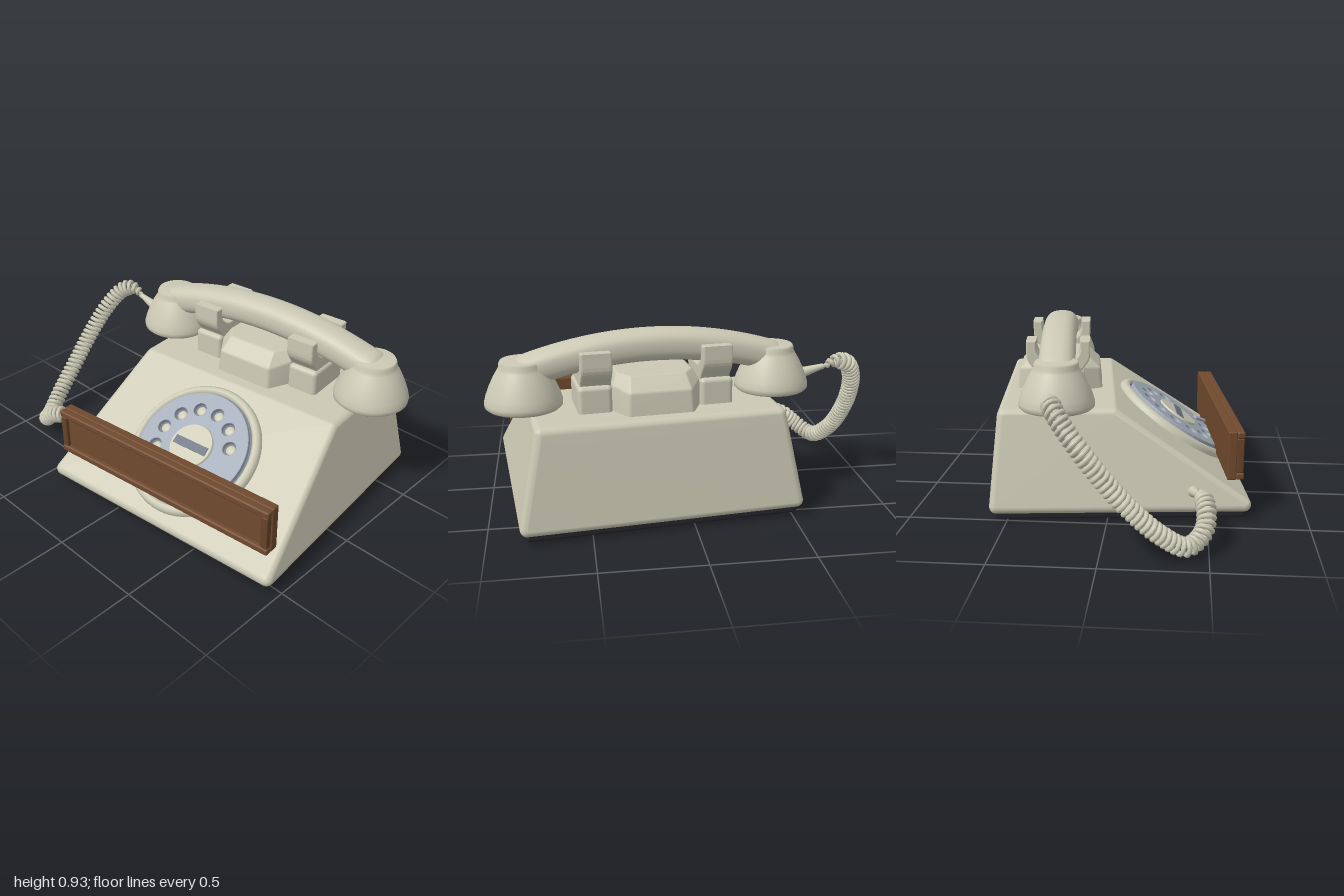
import * as THREE from 'three';
import { mergeVertices } from 'three/addons/utils/BufferGeometryUtils.js';
import { ConvexGeometry } from 'three/addons/geometries/ConvexGeometry.js';
import { RoundedBoxGeometry } from 'three/addons/geometries/RoundedBoxGeometry.js';

const paint = (name, color) => Object.assign(new THREE.MeshStandardMaterial({ color }), { name });
const V = (x, y, z) => new THREE.Vector3(x, y, z);

// Convex block with rounded corners: the hull of small spheres
function roundedHull(corners, r) {
  const p = new THREE.SphereGeometry(r, 16, 12).attributes.position;
  const pts = [];
  for (const c of corners) {
    for (let i = 0; i < p.count; i++) pts.push(new THREE.Vector3().fromBufferAttribute(p, i).add(c));
  }
  let g = new ConvexGeometry(pts);
  g.deleteAttribute('normal');
  g = mergeVertices(g, 1e-4);
  g.computeVertexNormals();
  return g;
}

// Arched grip lofted from rounded cross-sections along x
function gripGeometry() {
  const pos = [], idx = [], rings = 48, sides = 28, half = 0.68, cap = 0.05;
  const soft = (v) => Math.sign(v) * Math.abs(v) ** 0.8;
  for (let i = 0; i <= rings; i++) {
    const x = half * Math.sin((i / rings - 0.5) * Math.PI);
    const over = Math.max(0, (Math.abs(x) - (half - cap)) / cap);
    const s = Math.sqrt(Math.max(0, 1 - over * over));
    const y = 0.85 - 0.1 * (x / 0.63) ** 2;
    for (let j = 0; j < sides; j++) {
      const a = (j / sides) * Math.PI * 2;
      pos.push(x, y + 0.08 * s * soft(Math.cos(a)), 0.091 * s * soft(Math.sin(a)));
    }
  }
  for (let i = 0; i < rings; i++) {
    for (let j = 0; j < sides; j++) {
      const k = (j + 1) % sides;
      const a = i * sides + j, c = i * sides + k, b = a + sides, d = c + sides;
      idx.push(a, c, b, c, d, b);
    }
  }
  const g = new THREE.BufferGeometry();
  g.setAttribute('position', new THREE.Float32BufferAttribute(pos, 3));
  g.setIndex(idx);
  g.computeVertexNormals();
  return g;
}

export function createModel() {
  const cream = paint('cream', 0xcbc9b4);
  const black = paint('black', 0x25242a);
  const steel = paint('steelBlue', 0xa0a9b6);
  const slate = paint('slate', 0x687380);
  const wood = paint('wood', 0x704a2e);
  const trim = paint('darkWood', 0x664329);

  const model = new THREE.Group();
  const phone = new THREE.Group();
  phone.name = 'phone';
  phone.position.set(0.21, 0, -0.005);
  phone.rotation.y = 0.107;
  model.add(phone);

  const add = (parent, name, geo, mat, x = 0, y = 0, z = 0) => {
    const m = new THREE.Mesh(geo, mat);
    m.name = name;
    m.position.set(x, y, z);
    parent.add(m);
    return m;
  };

  // Sloping housing
  const body = [];
  for (const s of [-1, 1]) {
    body.push(V(s * 0.665, 0.08, 0.62), V(s * 0.665, 0.08, -0.62), V(s * 0.575, 0.525, -0.03), V(s * 0.575, 0.525, -0.575));
  }
  add(phone, 'housing', roundedHull(body, 0.035), cream);

  // Base plate and feet
  add(phone, 'basePlate', new RoundedBoxGeometry(1.34, 0.04, 1.25, 2, 0.012), black, 0, 0.033, 0);
  for (const x of [-0.57, 0.57]) {
    for (const z of [-0.55, 0.55]) add(phone, 'foot', new THREE.CylinderGeometry(0.055, 0.05, 0.02, 24), black, x, 0.01, z);
  }

  // Dial on the front slope
  const dial = new THREE.Group();
  dial.name = 'dial';
  dial.position.set(0, 0.332, 0.317);
  dial.rotation.x = 0.6;
  phone.add(dial);
  const rim = [[0.358, -0.01], [0.356, 0.015], [0.345, 0.03], [0.328, 0.036], [0.315, 0.03], [0.31, 0.012]];
  add(dial, 'dialRim', new THREE.LatheGeometry(rim.map((p) => new THREE.Vector2(...p)), 64), cream);
  add(dial, 'dialFloor', new THREE.CylinderGeometry(0.315, 0.315, 0.02, 64), slate, 0, 0.008, 0);
  const plate = new THREE.Shape().absarc(0, 0, 0.298, 0, Math.PI * 2);
  for (let i = 0; i < 10; i++) {
    const a = THREE.MathUtils.degToRad(20 + i * 30);
    const x = 0.205 * Math.cos(a), y = 0.205 * Math.sin(a);
    plate.holes.push(new THREE.Path().absarc(x, y, 0.039, 0, Math.PI * 2, true));
    const dot = add(dial, 'numberButton', new THREE.SphereGeometry(0.027, 16, 8), cream, x, 0.018, -y);
    dot.scale.y = 0.4;
  }
  const wheel = new THREE.ExtrudeGeometry(plate, { depth: 0.02, bevelEnabled: true, bevelSize: 0.004, bevelThickness: 0.004, bevelSegments: 2, curveSegments: 24 });
  add(dial, 'fingerWheel', wheel.rotateX(-Math.PI / 2), steel, 0, 0.022, 0);
  add(dial, 'dialHub', new THREE.CylinderGeometry(0.115, 0.12, 0.012, 40), cream, 0, 0.05, 0);
  add(dial, 'dialLabel', new THREE.BoxGeometry(0.2, 0.006, 0.045), slate, 0, 0.057, 0);
  const stop = add(dial, 'fingerStop', new RoundedBoxGeometry(0.15, 0.014, 0.03, 2, 0.006), steel, 0.195, 0.054, 0.185);
  stop.rotation.y = -0.76;

  // Cradle hump
  const hump = [];
  for (const sx of [-1, 1]) {
    for (const sz of [-1, 1]) {
      hump.push(V(sx * 0.195, 0.56, sz * 0.11), V(sx * 0.145, 0.56, sz * 0.205));
      hump.push(V(sx * 0.195, 0.675, sz * 0.1), V(sx * 0.14, 0.66, sz * 0.195));
      hump.push(V(sx * 0.175, 0.715, sz * 0.07), V(sx * 0.13, 0.715, sz * 0.14));
    }
  }
  add(phone, 'cradleHump', roundedHull(hump, 0.022), cream, 0, 0, -0.31);

  // Cradle posts with curved prongs
  const fork = new THREE.Shape();
  fork.moveTo(-0.155, 0.85);
  fork.lineTo(-0.155, 0.79);
  fork.bezierCurveTo(-0.155, 0.73, -0.1, 0.72, -0.09, 0.66);
  fork.lineTo(0.09, 0.66);
  fork.bezierCurveTo(0.1, 0.72, 0.155, 0.73, 0.155, 0.79);
  fork.lineTo(0.155, 0.85);
  fork.lineTo(0.12, 0.85);
  fork.lineTo(0.12, 0.81);
  fork.bezierCurveTo(0.11, 0.76, 0.07, 0.74, 0.04, 0.74);
  fork.lineTo(-0.04, 0.74);
  fork.bezierCurveTo(-0.07, 0.74, -0.11, 0.76, -0.12, 0.81);
  fork.lineTo(-0.12, 0.85);
  fork.closePath();
  const forkGeo = new THREE.ExtrudeGeometry(fork, { depth: 0.13, bevelSize: 0.008, bevelThickness: 0.01, bevelSegments: 3, curveSegments: 10 });
  forkGeo.translate(0, 0, -0.065).rotateY(Math.PI / 2);
  for (const s of [-1, 1]) {
    add(phone, 'cradlePost', new RoundedBoxGeometry(0.165, 0.16, 0.27, 4, 0.022), cream, s * 0.3, 0.61, -0.31);
    add(phone, 'cradleProngs', forkGeo, cream, s * 0.295, 0, -0.31);
  }

  // Handset
  const handset = new THREE.Group();
  handset.name = 'handset';
  handset.position.z = -0.31;
  phone.add(handset);
  add(handset, 'grip', gripGeometry(), cream);
  const cup = [[0, 0.6], [0.14, 0.6], [0.15, 0.582], [0.174, 0.581], [0.186, 0.592], [0.187, 0.612], [0.178, 0.645],
    [0.16, 0.69], [0.138, 0.735], [0.118, 0.768], [0.11, 0.782], [0.109, 0.8], [0.102, 0.812], [0, 0.814]];
  for (const s of [-1, 1]) {
    add(handset, s < 0 ? 'mouthpiece' : 'earpiece', new THREE.LatheGeometry(cup.map((p) => new THREE.Vector2(...p)), 48), cream, s * 0.626, 0, 0);
  }

  // Wooden framed bar in front of the dial
  const bar = new THREE.Group();
  bar.name = 'woodenBar';
  bar.position.set(0, 0.33, 0.575);
  phone.add(bar);
  add(bar, 'backBoard', new RoundedBoxGeometry(1.31, 0.25, 0.045, 2, 0.006), wood, 0, 0, -0.02);
  add(bar, 'panel', new THREE.BoxGeometry(1.25, 0.19, 0.03), wood, 0, 0, 0.005);
  for (const s of [-1, 1]) {
    add(bar, 'rail', new RoundedBoxGeometry(1.31, 0.036, 0.04, 3, 0.01), wood, 0, s * 0.107, 0.022);
    add(bar, 'stile', new RoundedBoxGeometry(0.036, 0.18, 0.036, 3, 0.006), trim, s * 0.633, 0, 0.021);
  }

  // Coiled cord
  const path = new THREE.CatmullRomCurve3([
    V(-0.72, 0.665, -0.225), V(-0.79, 0.7, -0.225), V(-0.86, 0.68, -0.2), V(-0.92, 0.58, -0.12),
    V(-0.95, 0.43, 0), V(-0.95, 0.27, 0.14), V(-0.93, 0.14, 0.28), V(-0.88, 0.065, 0.4),
    V(-0.8, 0.11, 0.475), V(-0.71, 0.18, 0.485), V(-0.61, 0.205, 0.465), V(-0.54, 0.18, 0.45)]);
  const turns = 52, steps = turns * 12;
  const frames = path.computeFrenetFrames(steps);
  const coil = [];
  for (let i = 0; i <= steps; i++) {
    const a = (i / steps) * turns * Math.PI * 2;
    const r = 0.037 * Math.min(1, i / 50, (steps - i) / 50);
    coil.push(path.getPointAt(i / steps)
      .addScaledVector(frames.normals[i], r * Math.cos(a))
      .addScaledVector(frames.binormals[i], r * Math.sin(a)));
  }
  add(model, 'coiledCord', new THREE.TubeGeometry(new THREE.CatmullRomCurve3(coil), steps, 0.012, 7), cream);

  // Tapered plugs at both cord ends
  const plug = (name, from, to) => {
    const dir = to.clone().sub(from);
    const m = add(model, name, new THREE.CylinderGeometry(0.013, 0.03, dir.length(), 20), cream);
    m.position.copy(from).addScaledVector(dir, 0.5);
    m.quaternion.setFromUnitVectors(V(0, 1, 0), dir.normalize());
  };
  plug('handsetPlug', V(-0.6, 0.64, -0.225), V(-0.73, 0.675, -0.225));
  plug('bodyPlug', V(-0.42, 0.155, 0.425), V(-0.55, 0.185, 0.452));

  return model;
}
